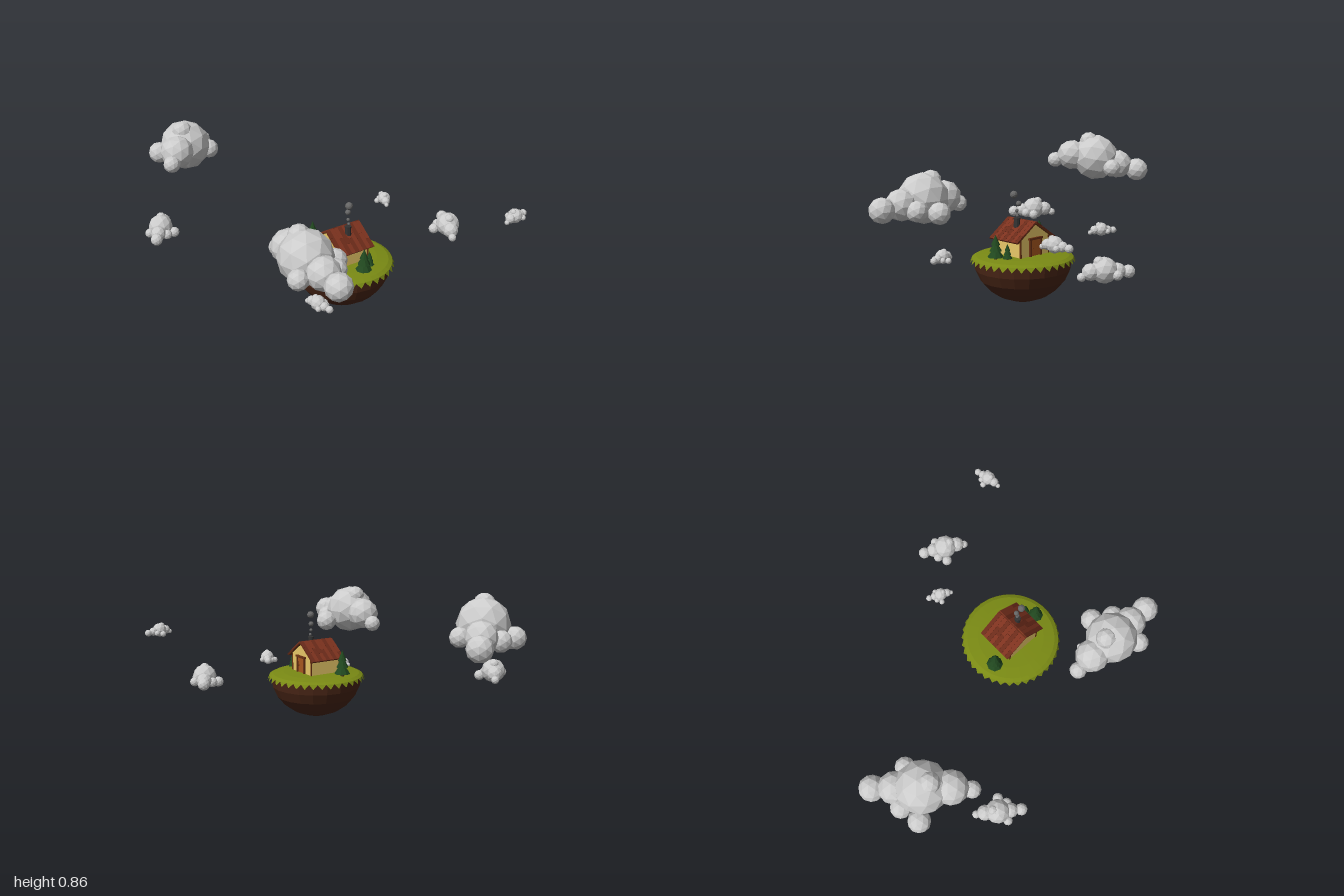
import * as THREE from 'three';

const mat = (color, side = THREE.FrontSide) =>
  new THREE.MeshStandardMaterial({ color, flatShading: true, side });
const M = {
  cloud: mat(0xcccccc), smoke: mat(0x666666), chimney: mat(0x333333),
  earth: mat(0x4a2616), grass: mat(0x7a8a14, THREE.DoubleSide),
  wall: mat(0xe8c868), beam: mat(0x6b3314), door: mat(0xa8581f),
  roof: mat(0x7c321e), roofDark: mat(0x6a2a19), leaf: mat(0x21481f), trunk: mat(0x4a2c16),
};

function add(parent, name, geometry, material, x = 0, y = 0, z = 0) {
  const mesh = new THREE.Mesh(geometry, material);
  mesh.name = name;
  mesh.position.set(x, y, z);
  parent.add(mesh);
  return mesh;
}

function group(parent, name, x, y, z) {
  const g = new THREE.Group();
  g.name = name;
  g.position.set(x, y, z);
  parent.add(g);
  return g;
}

const box = (w, h, d) => new THREE.BoxGeometry(w, h, d);

// Cloud puffs: x, y, z, radius, long axis along z
const PUFFS = [
  [0, 0, 0, 0.15], [0, -0.035, 0.285, 0.075], [0, -0.06, -0.26, 0.05],
  [0, -0.01, -0.155, 0.098], [0, -0.02, 0.155, 0.093], [0, 0.097, -0.06, 0.061],
  [0.17, -0.065, 0.02, 0.065], [0.1, -0.05, 0.12, 0.062], [-0.118, -0.04, 0.11, 0.058],
];

function cloud(parent, name, x, y, z, scale, turn, tilt = 0) {
  const g = group(parent, name, x, y, z);
  g.rotation.set(tilt, turn, 0, 'YXZ');
  g.scale.setScalar(scale);
  for (const [px, py, pz, r] of PUFFS) add(g, 'puff', new THREE.IcosahedronGeometry(r, 1), M.cloud, px, py, pz);
}

// Pine tree of three stacked cones
function tree(parent, x, y, z, height, radius) {
  const g = group(parent, 'pineTree', x, y, z);
  add(g, 'trunk', new THREE.CylinderGeometry(radius * 0.2, radius * 0.25, height * 0.2, 6), M.trunk, 0, height * 0.1, 0);
  for (let i = 0; i < 3; i++) {
    const h = height * (0.46 - i * 0.03);
    add(g, 'branches', new THREE.ConeGeometry(radius * (1 - i * 0.23), h, 8), M.leaf,
      0, height * (0.12 + i * 0.24) + h / 2, 0).rotation.y = i * 0.4;
  }
}

function island(parent) {
  const g = group(parent, 'island', -0.025, 0, 0.312);
  // Earth bowl
  const bowl = new THREE.SphereGeometry(0.28, 20, 6, 0, Math.PI * 2, Math.PI / 2, Math.PI / 2);
  add(g, 'earth', bowl.scale(1, 0.91, 1), M.earth, 0, 0.255, 0);
  // Domed turf
  const N = 36, rim = 0.288, rimY = 0.257;
  const profile = [[rim, rimY], [0.265, 0.268], [0.2, 0.276], [0, 0.28]].map(p => new THREE.Vector2(...p));
  add(g, 'turf', new THREE.LatheGeometry(profile, N), M.grass);
  // Pointed fringe hanging from the rim
  const pos = [];
  const ring = (i, r, y) => {
    const a = i / N * Math.PI * 2;
    return [r * Math.sin(a), y, r * Math.cos(a)];
  };
  for (let i = 0; i < N; i++) pos.push(...ring(i, rim, rimY), ...ring(i + 0.5, 0.301, 0.23), ...ring(i + 1, rim, rimY));
  const fringe = new THREE.BufferGeometry();
  fringe.setAttribute('position', new THREE.Float32BufferAttribute(pos, 3));
  fringe.computeVertexNormals();
  add(g, 'grassFringe', fringe, M.grass);
}

function house(parent) {
  const g = group(parent, 'house', -0.025, 0.275, 0.315);
  // Gabled walls
  const s = new THREE.Shape();
  s.moveTo(-0.108, 0);
  s.lineTo(0.108, 0);
  s.lineTo(0.108, 0.108);
  s.lineTo(0, 0.182);
  s.lineTo(-0.108, 0.108);
  const walls = new THREE.ExtrudeGeometry(s, { depth: 0.2, bevelEnabled: false });
  add(g, 'walls', walls.translate(0, 0, -0.1).rotateY(Math.PI / 2), M.wall);
  // Corner posts
  for (const x of [-0.099, 0.099])
    for (const z of [-0.107, 0.107]) add(g, 'cornerPost', box(0.008, 0.106, 0.008), M.beam, x, 0.053, z);
  // Door and frame
  add(g, 'door', box(0.008, 0.092, 0.07), M.door, 0.101, 0.05, 0);
  for (const z of [-0.039, 0.039]) add(g, 'doorPost', box(0.016, 0.1, 0.01), M.beam, 0.104, 0.05, z);
  add(g, 'doorLintel', box(0.018, 0.012, 0.1), M.beam, 0.105, 0.102, 0);
  add(g, 'doorKnob', new THREE.IcosahedronGeometry(0.004, 1), M.beam, 0.108, 0.048, 0.022);
  // Planked roof slopes
  const planks = 9, w = 0.23 / planks, length = 0.175;
  for (const turn of [0, Math.PI]) {
    const side = group(g, 'roofSlope', 0, 0, 0);
    side.rotation.y = turn;
    const slope = group(side, 'slope', 0, 0.14, 0.071);
    slope.rotation.x = 0.61;
    add(slope, 'underRoof', box(0.226, 0.007, length - 0.004), M.beam);
    for (let i = 0; i < planks; i++) {
      const split = length * (0.3 + 0.4 * ((i * 0.618) % 1));
      const x = (i - (planks - 1) / 2) * w;
      add(slope, 'plank', box(w - 0.001, 0.008, split - 0.001), i % 3 ? M.roof : M.roofDark, x, 0.005, -length / 2 + split / 2);
      add(slope, 'plank', box(w - 0.001, 0.007, length - split), i % 2 ? M.roof : M.roofDark, x, 0.005, split / 2);
    }
  }
  // Chimney and smoke
  add(g, 'chimney', new THREE.CylinderGeometry(0.016, 0.02, 0.065, 8), M.chimney, 0.005, 0.178, 0.045);
  add(g, 'chimneyCap', new THREE.CylinderGeometry(0.019, 0.019, 0.01, 8), M.chimney, 0.005, 0.206, 0.045);
  for (const [x, y, z, r] of [[0.01, 0.223, 0.045, 0.009], [0.005, 0.251, 0.045, 0.01], [0.01, 0.291, 0.035, 0.016], [-0.002, 0.343, 0.06, 0.022]])
    add(g, 'smokePuff', new THREE.IcosahedronGeometry(r, 1), M.smoke, x, y, z);
}

export function createModel() {
  const model = new THREE.Group();
  model.name = 'floatingIsland';
  island(model);
  house(model);
  tree(model, -0.025, 0.27, 0.518, 0.142, 0.046);
  tree(model, 0.037, 0.272, 0.487, 0.093, 0.028);
  tree(model, -0.09, 0.27, 0.117, 0.164, 0.049);

  cloud(model, 'largeFrontCloud', -0.497, 0.575, 0.643, 1, 0);
  cloud(model, 'largeBackCloud', -0.434, 0.69, -0.746, 1, 2.36, 0.17);
  cloud(model, 'mediumBackCloud', -0.757, 0.34, -0.485, 0.47, -0.64);
  cloud(model, 'mediumSideCloud', 0.68, 0.315, 0.412, 0.47, 2.66);
  cloud(model, 'smallFrontCloud', 0.765, 0.53, 0.855, 0.28, 1.75);
  cloud(model, 'smallLowCloud', -0.39, 0.243, 0.6, 0.28, 0.25);
  cloud(model, 'smallSideCloud', 0.412, 0.45, 0.138, 0.25, 2.7);
  return model;
}
